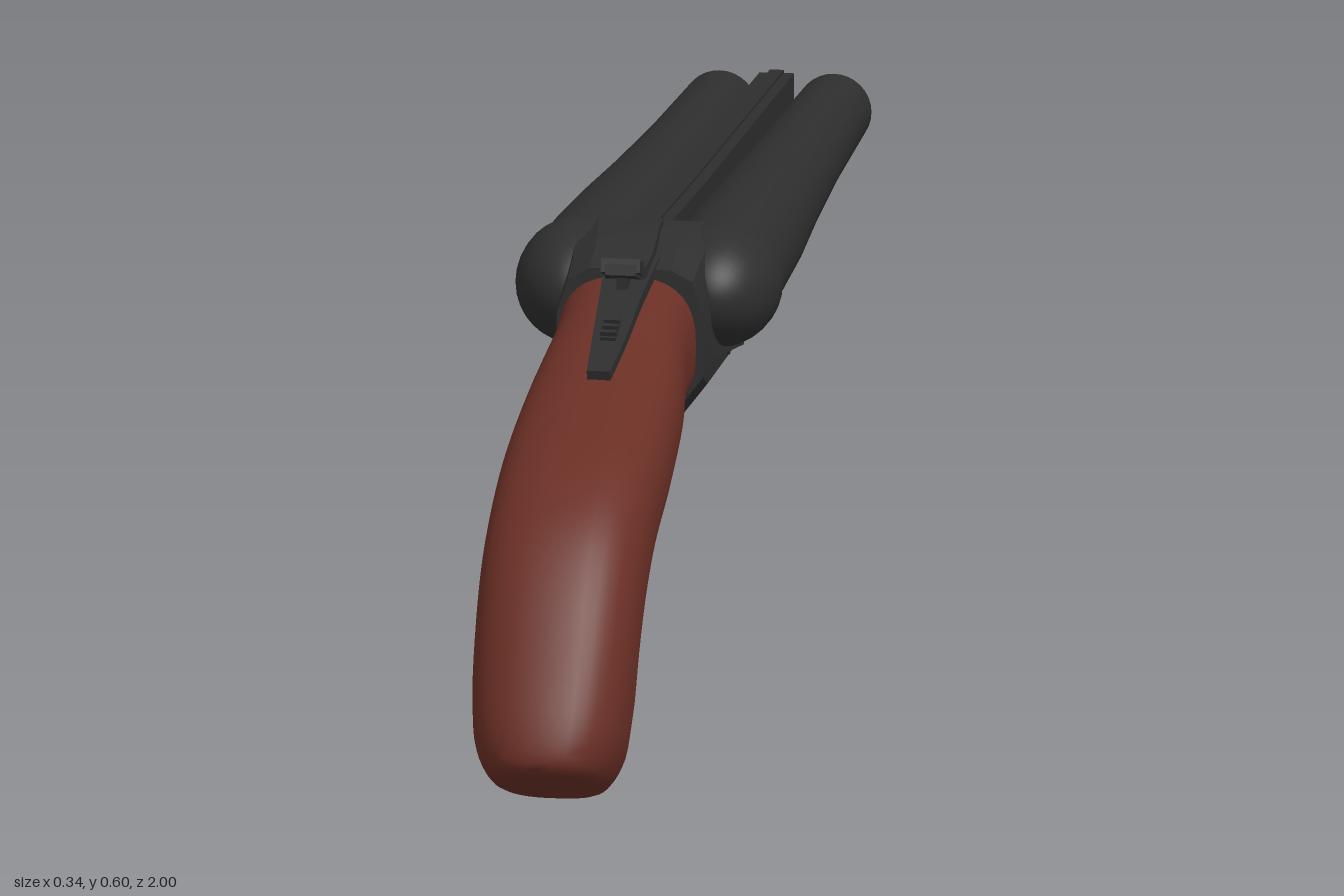
import * as THREE from 'three';
import { toCreasedNormals } from 'three/addons/utils/BufferGeometryUtils.js';

const steel = new THREE.MeshStandardMaterial({ color: 0x2e2e2e });
steel.name = 'dark steel';
const wood = new THREE.MeshStandardMaterial({ color: 0x6a2f25 });
wood.name = 'red brown wood';

// Skin a list of equal-length closed rings of [x, y, z], with fan caps
function loft(rings, crease = 0.6) {
  const n = rings[0].length, pos = [], idx = [];
  rings.forEach((r) => r.forEach((p) => pos.push(...p)));
  for (let i = 0; i < rings.length - 1; i++)
    for (let j = 0; j < n; j++) {
      const a = i * n + j, b = i * n + (j + 1) % n;
      idx.push(a, b, b + n, a, b + n, a + n);
    }
  for (const [r, last] of [[0, false], [rings.length - 1, true]]) {
    const c = pos.length / 3;
    pos.push(...[0, 1, 2].map((k) => rings[r].reduce((s, p) => s + p[k], 0) / n));
    for (let j = 0; j < n; j++) {
      const a = r * n + j, b = r * n + (j + 1) % n;
      idx.push(...(last ? [a, b, c] : [b, a, c]));
    }
  }
  // Turn the faces outward whatever the ring direction
  let vol = 0;
  const v = (i) => new THREE.Vector3().fromArray(pos, i * 3);
  for (let i = 0; i < idx.length; i += 3) vol += v(idx[i]).dot(v(idx[i + 1]).cross(v(idx[i + 2])));
  if (vol < 0) idx.reverse();
  const g = new THREE.BufferGeometry();
  g.setAttribute('position', new THREE.Float32BufferAttribute(pos, 3));
  g.setIndex(idx);
  return toCreasedNormals(g, crease);
}

// Rounded body from [topZ, topY, bottomZ, bottomY, halfWidth] sections, smoothed along its length
function sweptBody(sections, power, perSpan = 4, sides = 32, cx = 0) {
  const spline = (a, b, c) => new THREE.CatmullRomCurve3(
    sections.map((s) => new THREE.Vector3(s[a], s[b], c === undefined ? 0 : s[c])));
  const top = spline(0, 1, 4), low = spline(2, 3);
  const steps = (sections.length - 1) * perSpan, rings = [];
  const soft = (t) => Math.sign(t) * Math.abs(t) ** (2 / power);
  for (let i = 0; i <= steps; i++) {
    const t = top.getPoint(i / steps), b = low.getPoint(i / steps), ring = [];
    for (let j = 0; j < sides; j++) {
      const a = j / sides * Math.PI * 2, k = (1 + soft(Math.sin(a))) / 2;
      ring.push([cx + t.z * soft(Math.cos(a)), b.y + (t.y - b.y) * k, b.x + (t.x - b.x) * k]);
    }
    rings.push(ring);
  }
  return loft(rings, 0.9);
}

// Flat band along [z, y] points, with a half width and a thickness
function band(points, halfWidth, thick, steps = 36) {
  const curve = new THREE.CatmullRomCurve3(points.map(([z, y]) => new THREE.Vector3(0, y, z)));
  const rings = [];
  for (let i = 0; i <= steps; i++) {
    const u = i / steps, p = curve.getPoint(u), d = curve.getTangent(u);
    const ny = d.z * thick / 2, nz = -d.y * thick / 2;
    const w = typeof halfWidth === 'function' ? halfWidth(u) : halfWidth;
    rings.push([[-w, p.y - ny, p.z - nz], [w, p.y - ny, p.z - nz], [w, p.y + ny, p.z + nz], [-w, p.y + ny, p.z + nz]]);
  }
  return loft(rings);
}

// Mirror a half outline of [x, y] points into a ring at depth z
const mirrored = (half, z) => [...half, ...half.slice().reverse().map(([x, y]) => [-x, y])].map(([x, y]) => [x, y, z]);

export function createModel() {
  const model = new THREE.Group();
  const add = (name, geometry, material, x = 0, y = 0, z = 0) => {
    const mesh = new THREE.Mesh(geometry, material);
    mesh.name = name;
    mesh.position.set(x, y, z);
    model.add(mesh);
    return mesh;
  };

  // Curved pistol-grip stock
  add('stock', sweptBody([
    [0.21, 0.565, 0.20, 0.385, 0.09], [0.30, 0.542, 0.29, 0.368, 0.087],
    [0.41, 0.505, 0.385, 0.343, 0.097], [0.58, 0.456, 0.52, 0.302, 0.104],
    [0.71, 0.418, 0.626, 0.257, 0.104], [0.81, 0.364, 0.707, 0.200, 0.104],
    [0.88, 0.295, 0.755, 0.134, 0.103], [0.95, 0.190, 0.773, 0.070, 0.100],
    [0.99, 0.115, 0.785, 0.026, 0.090], [0.996, 0.078, 0.815, 0.005, 0.070],
    [0.96, 0.056, 0.86, 0.018, 0.035], [0.915, 0.037, 0.91, 0.035, 0.003],
  ], 2.6, 4, 36, -0.004), wood);

  // Fore-end under the barrels
  add('foreEnd', sweptBody([
    [-0.26, 0.50, -0.26, 0.402, 0.085], [-0.40, 0.50, -0.40, 0.402, 0.078],
    [-0.54, 0.50, -0.54, 0.402, 0.070], [-0.64, 0.50, -0.64, 0.409, 0.062],
    [-0.70, 0.495, -0.70, 0.428, 0.054], [-0.735, 0.49, -0.735, 0.462, 0.035],
  ], 2.6), wood);

  // Barrels: [z, centre x, centre y, radius]; outer skin runs into the bore
  const stations = [
    [0.075, 0.084, 0.519, 0.077], [-0.05, 0.083, 0.519, 0.076], [-0.24, 0.081, 0.519, 0.071],
    [-0.45, 0.077, 0.520, 0.063], [-0.70, 0.074, 0.521, 0.055], [-1.0, 0.073, 0.522, 0.048],
    [-1.0, 0.073, 0.522, 0.039], [-0.6, 0.073, 0.522, 0.037],
  ];
  for (const [side, s] of [['left', 1], ['right', -1]]) {
    add(side + 'Barrel', loft(stations.map(([z, x, y, r]) => Array.from({ length: 32 }, (_, j) => {
      const a = j / 32 * Math.PI * 2;
      return [s * x + r * Math.cos(a), y + r * Math.sin(a), z];
    }))), steel);

    // Rounded breech fence with a thin collar
    const dome = new THREE.SphereGeometry(0.079, 32, 16, 0, Math.PI * 2, 0, Math.PI / 2);
    dome.rotateX(Math.PI / 2);
    dome.scale(1, 1, 1.45);
    add(side + 'Fence', dome, steel, s * 0.09, 0.519, 0.075);
    const collar = new THREE.CylinderGeometry(0.079, 0.079, 0.014, 32);
    collar.rotateX(Math.PI / 2);
    add(side + 'Collar', collar, steel, s * 0.09, 0.519, 0.069);

    // Side pins on the receiver
    for (const [z, r] of [[0.02, 0.008], [-0.06, 0.011]]) {
      const pin = new THREE.CylinderGeometry(r, r, 0.006, 12);
      pin.rotateZ(Math.PI / 2);
      add(side + 'Pin', pin, steel, s * 0.092, 0.425, z);
    }
  }

  // Ribs above and between the barrels
  const ribAt = (z, top, low, w) => mirrored([[w, top], [w, low]], z);
  add('topRib', loft([ribAt(0.08, 0.592, 0.53, 0.024), ribAt(-0.24, 0.583, 0.53, 0.024),
    ribAt(-1.0, 0.569, 0.525, 0.022)]), steel);
  add('sightGroove', loft([ribAt(0.08, 0.596, 0.58, 0.009), ribAt(-0.24, 0.587, 0.57, 0.009),
    ribAt(-1.0, 0.573, 0.56, 0.009)]), steel);
  add('lowerRib', loft([ribAt(0.06, 0.5, 0.46, 0.03), ribAt(-0.98, 0.512, 0.486, 0.03)]), steel);

  // Lower receiver with chamfered underside and sloped nose
  const lower = (z, top, low, w) => mirrored([[w, top], [w, low + 0.045], [w - 0.035, low]], z);
  add('receiver', loft([lower(0.228, 0.50, 0.385, 0.093), lower(0.20, 0.51, 0.37, 0.093),
    lower(-0.23, 0.51, 0.37, 0.091), lower(-0.28, 0.49, 0.395, 0.085)], 0.3), steel);

  // Upper receiver behind the fences
  const upper = (z, top, w) => mirrored([[w * 0.55, top], [w * 0.85, top - 0.015], [w, top - 0.06], [w, 0.44]], z);
  add('breech', loft([upper(0.236, 0.568, 0.094), upper(0.18, 0.584, 0.096),
    upper(0.14, 0.596, 0.1), upper(0.065, 0.597, 0.12)], 0.4), steel);

  // Tang strap let into the top of the stock
  add('tang', band([[0.21, 0.572], [0.30, 0.547], [0.41, 0.509], [0.50, 0.483]],
    (u) => 0.034 - 0.019 * u, 0.016), steel);

  // Opening lever with raised thumb piece
  add('topLever', band([[0.08, 0.596], [0.15, 0.598], [0.22, 0.581], [0.28, 0.572], [0.32, 0.584]],
    (u) => 0.019 + 0.008 * Math.sin(u * Math.PI), 0.014), steel);
  add('thumbPiece', new THREE.BoxGeometry(0.05, 0.018, 0.03), steel, 0, 0.584, 0.302).rotation.x = -0.35;
  add('leverStem', new THREE.BoxGeometry(0.014, 0.05, 0.035), steel, 0, 0.56, 0.285);

  // Safety slide with grip ridges
  const tilt = 0.35;
  add('safetySlide', new THREE.BoxGeometry(0.02, 0.014, 0.045), steel, 0, 0.519, 0.40).rotation.x = tilt;
  for (let i = -1; i <= 1; i++)
    add('safetyRidge', new THREE.BoxGeometry(0.02, 0.006, 0.007), steel, 0,
      0.528 - i * 0.005, 0.404 + i * 0.014).rotation.x = tilt;

  // Trigger guard and its two triggers
  add('triggerGuard', band([[0.20, 0.375], [0.205, 0.33], [0.215, 0.285], [0.265, 0.235], [0.33, 0.214],
    [0.40, 0.213], [0.465, 0.240], [0.515, 0.288], [0.56, 0.303]], 0.019, 0.013, 48), steel);
  add('frontTrigger', band([[0.32, 0.375], [0.35, 0.33], [0.366, 0.295], [0.355, 0.262], [0.32, 0.246]],
    (u) => 0.011 - 0.004 * u, 0.013), steel);
  add('rearTrigger', band([[0.42, 0.35], [0.45, 0.315], [0.461, 0.28], [0.452, 0.25], [0.425, 0.23]],
    (u) => 0.011 - 0.004 * u, 0.013), steel);

  return model;
}
